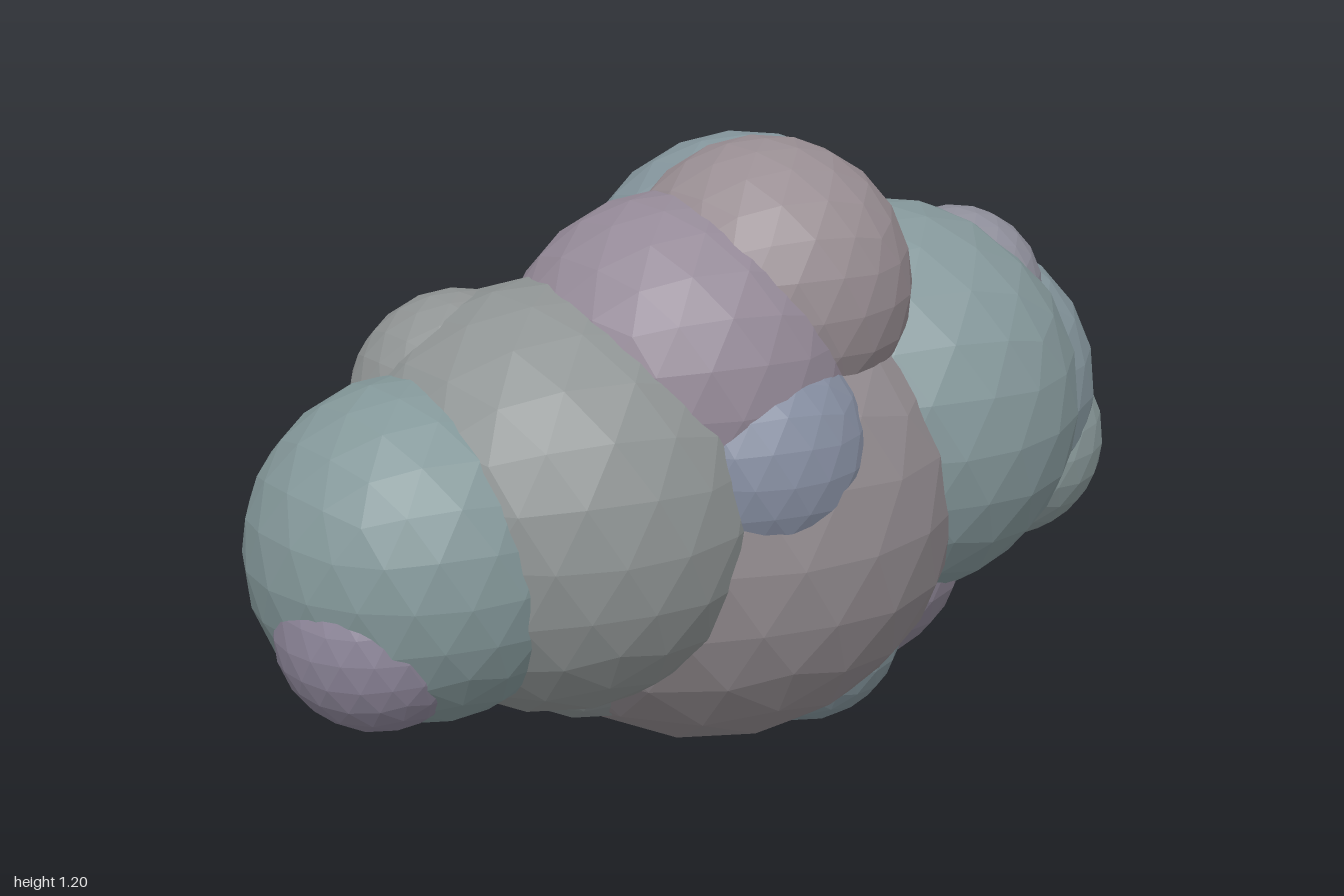
import * as THREE from 'three';

// name, centre x, y, z, radius, colour
const PUFFS = [
  ['corePuff', 0, 0.497, 0, 0.497, 0x928b8f],
  // left side (+x)
  ['leftPuff', 0.39, 0.607, 0.068, 0.403, 0x85989b],
  ['leftEndPuff', 0.665, 0.55, -0.043, 0.327, 0x85969d],
  ['leftLowerPuff', 0.777, 0.433, 0.035, 0.215, 0x8a9a9b],
  ['leftShoulderPuff', 0.565, 0.8, 0.1, 0.178, 0x8f8f9b],
  // right side (-x)
  ['rightPuff', -0.4, 0.583, 0.04, 0.405, 0x8f9494],
  ['rightEndPuff', -0.68, 0.54, 0.015, 0.32, 0x84989a],
  ['rightTipPuff', -0.81, 0.44, 0.07, 0.19, 0x8c8598],
  ['rightShoulderPuff', -0.5, 0.75, -0.1, 0.21, 0x909494],
  ['rightBackPuff', -0.31, 0.49, -0.17, 0.18, 0x85969d],
  // crown
  ['crownBackPuff', 0.14, 0.828, -0.05, 0.335, 0x85969d],
  ['crownFrontPuff', 0.04, 0.925, 0.125, 0.28, 0x998e93],
  ['crownRightPuff', -0.145, 0.79, 0.09, 0.333, 0x958a98],
  // small swellings on the core
  ['frontPuff', -0.11, 0.665, 0.25, 0.233, 0x868ea1],
  ['bottomFrontPuff', 0.13, 0.22, 0.14, 0.2, 0x83949b],
  ['bottomLeftPuff', 0.285, 0.335, 0.06, 0.265, 0x8d8595],
  ['bottomRightPuff', -0.27, 0.33, -0.03, 0.243, 0x8d9596],
];

export function createModel() {
  const cloud = new THREE.Group();
  cloud.name = 'cloud';

  // Low-poly ball turned so that one corner points straight up
  const ball = new THREE.IcosahedronGeometry(1, 3);
  ball.rotateZ(-Math.atan(2 / (1 + Math.sqrt(5))));

  for (const [name, x, y, z, radius, color] of PUFFS) {
    const puff = new THREE.Mesh(ball, new THREE.MeshStandardMaterial({ color, flatShading: true }));
    puff.name = name;
    puff.position.set(x, y, z);
    puff.scale.setScalar(radius);
    cloud.add(puff);
  }
  return cloud;
}
